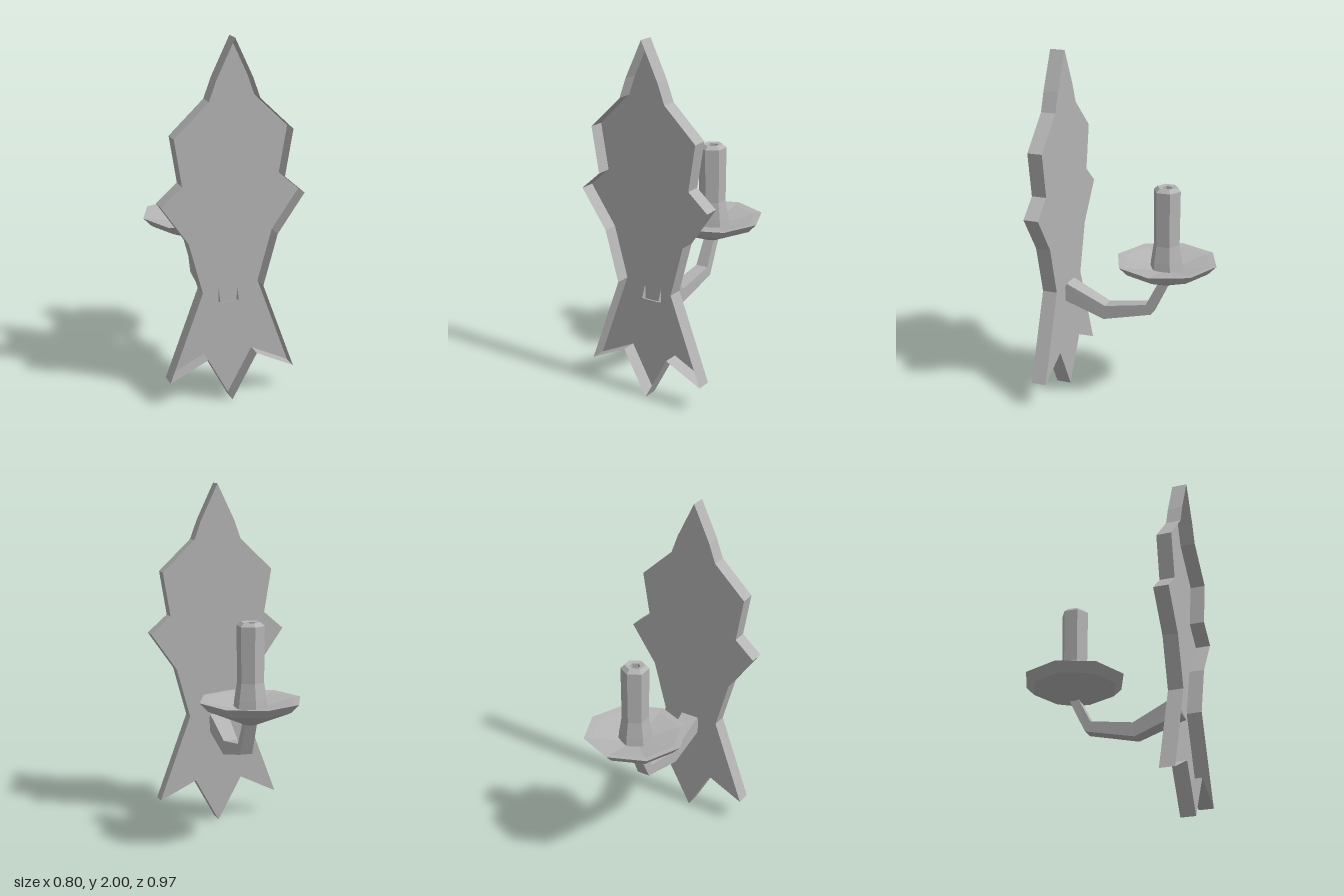
import * as THREE from 'three';

const grey = new THREE.MeshStandardMaterial({ color: 0xb4b4b4, side: THREE.DoubleSide });
grey.name = 'plain grey';

// flat-shaded mesh: unshared corners give hard facets
function facet(geometry, name) {
  const g = geometry.index ? geometry.toNonIndexed() : geometry;
  g.computeVertexNormals();
  const mesh = new THREE.Mesh(g, grey);
  mesh.name = name;
  return mesh;
}

// geometry from a list of four-cornered faces
function quads(list) {
  const pos = [];
  for (const [a, b, c, d] of list) pos.push(...a, ...b, ...c, ...a, ...c, ...d);
  const g = new THREE.BufferGeometry();
  g.setAttribute('position', new THREE.Float32BufferAttribute(pos, 3));
  return g;
}

function lathe(points, sides, name) {
  const g = new THREE.LatheGeometry(points.map(([r, y]) => new THREE.Vector2(r, y)), sides);
  const mesh = facet(g, name);
  mesh.position.z = -0.195;
  return mesh;
}

// leaf-shaped wall plate: a shallow tray, open on its +z side
function wallPlate() {
  const half = [[0.1, 1.79], [0.14, 1.68], [0.328, 1.5], [0.285, 1.245], [0.4, 1.145],
    [0.25, 0.93], [0.172, 0.645], [0.355, 0.15], [0.14, 0.255]];
  const outline = [[0, 2], ...half.map(([x, y]) => [-x, y]), [0, 0], ...[...half].reverse()];
  const zBack = 0.4, zRim = 0.485;

  const shape = new THREE.Shape(outline.map(([x, y]) => new THREE.Vector2(x, y)));
  const panel = new THREE.ShapeGeometry(shape);
  panel.rotateY(Math.PI); // symmetric outline, so this only turns it to face -z
  panel.translate(0, 0, zBack);

  const walls = outline.map(([ax, ay], i) => {
    const [bx, by] = outline[(i + 1) % outline.length];
    return [[ax, ay, zBack], [bx, by, zBack], [bx, by, zRim], [ax, ay, zRim]];
  });

  const group = new THREE.Group();
  group.name = 'wallPlate';
  group.add(facet(panel, 'platePanel'), facet(quads(walls), 'plateEdge'));
  return group;
}

// bent square arm, tapering towards the dish, its open end poking through the plate
function arm() {
  // top z, top y, bottom z, bottom y, half width
  const rings = [
    [0.39, 0.655, 0.43, 0.56, 0.053],
    [0.16, 0.547, 0.168, 0.465, 0.042],
    [-0.085, 0.588, -0.116, 0.533, 0.037],
    [-0.165, 0.745, -0.222, 0.75, 0.032],
  ].map(([tz, ty, bz, by, w]) => [[w, ty, tz], [-w, ty, tz], [-w, by, bz], [w, by, bz]]);
  const faces = [];
  for (let i = 0; i < rings.length - 1; i++) {
    for (let k = 0; k < 4; k++) {
      const n = (k + 1) % 4;
      faces.push([rings[i][n], rings[i][k], rings[i + 1][k], rings[i + 1][n]]);
    }
  }
  return facet(quads(faces), 'arm');
}

export function createModel() {
  const model = new THREE.Group();
  model.name = 'wallCandleHolder';
  model.add(
    wallPlate(),
    arm(),
    // eight-sided drip dish with a sunken top
    lathe([[0, 0.725], [0.04, 0.725], [0.242, 0.81], [0.29, 0.86], [0.25, 0.855], [0, 0.8]], 8, 'dripDish'),
    // six-sided candle with flared foot and a small hollow on top
    lathe([[0.095, 0.82], [0.09, 0.865], [0.075, 0.96], [0.078, 1.27], [0.055, 1.29], [0.03, 1.285], [0.028, 1.2], [0, 1.2]], 6, 'candle'),
  );
  return model;
}
